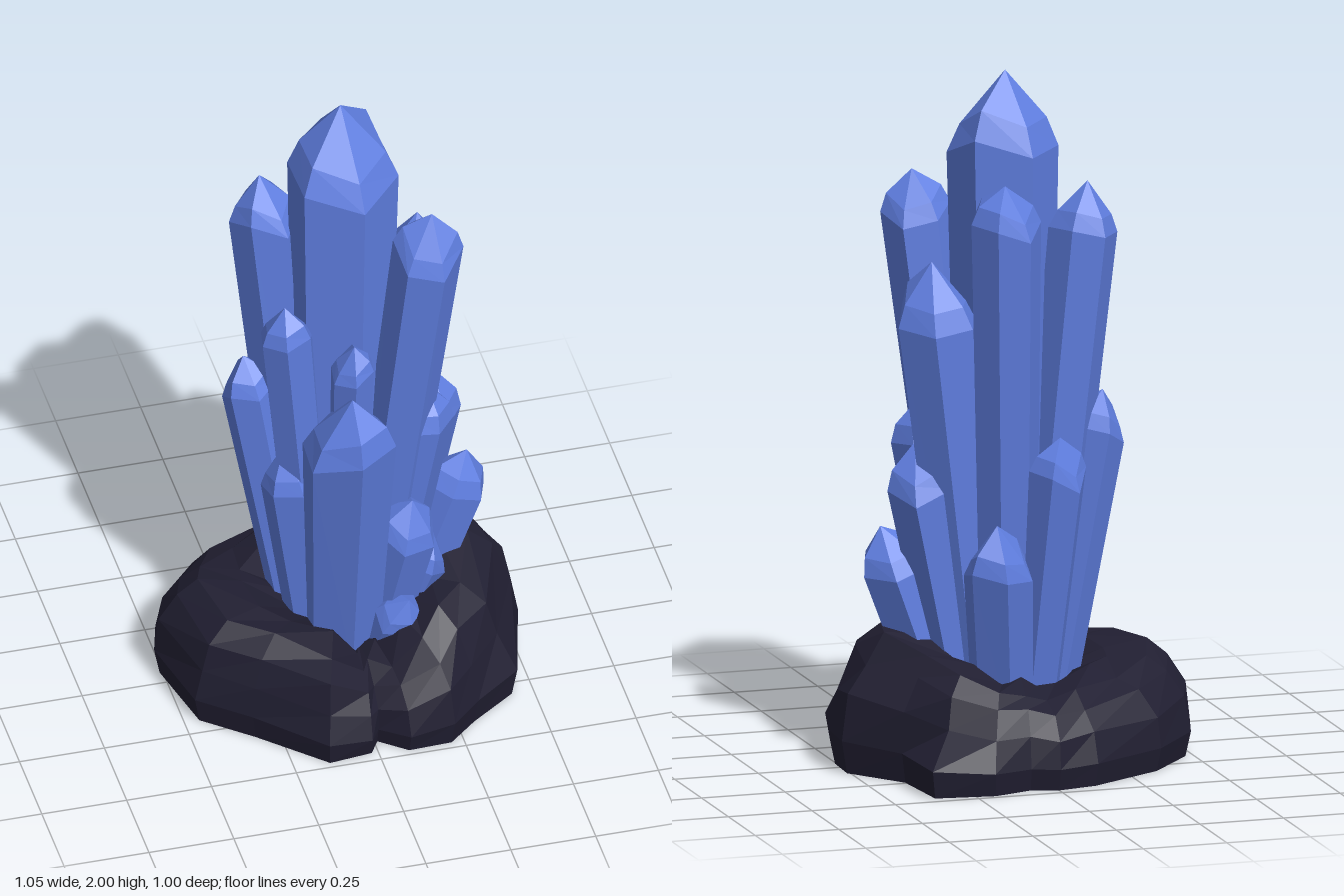
import * as THREE from 'three';

const crystalBlue = new THREE.MeshStandardMaterial({ color: 0x5f7ee0 });
const rockDark = new THREE.MeshStandardMaterial({ color: 0x211f32 });

// seeded random in -1..1
function makeRandom(seed) {
  return () => {
    seed = (seed * 16807) % 2147483647;
    return (seed / 2147483647) * 2 - 1;
  };
}

function faceted(geometry) {
  const flat = geometry.toNonIndexed();
  flat.computeVertexNormals();
  return flat;
}

// Six-sided shaft widening upwards, with an uneven shoulder and a pointed tip.
// Every shaft leans out from the middle; shorter ones start further out.
function crystal(x, y, z, r, seed) {
  const rand = makeRandom(seed * 7919 + 17);
  const lean = 0.62 - 0.17 * y;
  const from = new THREE.Vector3(x * lean, 0.15, z * lean);
  const axis = new THREE.Vector3(x, y, z).sub(from);
  const h = axis.length();
  const point = r * 1.4;
  const foot = Math.max(0.78, 1.1 - 0.3 * y);
  const profile = [
    new THREE.Vector2(r * foot, 0),
    new THREE.Vector2(r, h - point),
    new THREE.Vector2(r * 0.78, h - point * 0.63),
    new THREE.Vector2(0, h),
  ];
  const sides = 6;
  const geo = new THREE.LatheGeometry(profile, sides, rand());
  const widths = [], drops = [];
  for (let i = 0; i < sides; i++) {
    widths.push(1.02 + rand() * 0.09);
    drops.push(rand() * point * 0.25);
  }
  const p = geo.attributes.position;
  for (let i = 0; i < p.count; i++) {
    const row = i % profile.length;
    const side = Math.floor(i / profile.length) % sides;
    if (row === 3) continue;
    const drop = row === 0 ? 0 : drops[side];
    p.setXYZ(i, p.getX(i) * widths[side], p.getY(i) + drop, p.getZ(i) * widths[side]);
  }
  geo.applyQuaternion(new THREE.Quaternion().setFromUnitVectors(
    new THREE.Vector3(0, 1, 0), axis.normalize()));
  geo.translate(from.x, from.y, from.z);
  return new THREE.Mesh(faceted(geo), crystalBlue);
}

// Lumpy rock: a plan outline swept through shrinking rings
function rock() {
  const outline = [
    [-0.525, -0.05], [-0.49, -0.17], [-0.35, -0.33], [-0.12, -0.46], [0, -0.485],
    [0.08, -0.46], [0.2, -0.5], [0.38, -0.475], [0.4, -0.25], [0.525, -0.08],
    [0.52, 0.05], [0.45, 0.31], [0.31, 0.41], [0.22, 0.49], [0.09, 0.495],
    [0.01, 0.43], [-0.02, 0.48], [-0.15, 0.495], [-0.33, 0.32], [-0.47, 0.2],
  ].map(([x, z]) => new THREE.Vector2(x, z));
  // the rim rises to the left, falls to the back and dips at the front notch
  const rim = ({ x, y: z }) => 0.32 + 0.14 * Math.max(x, 0)
    - 0.14 * Math.max(-z, 0) - 0.06 * Math.max(z, 0)
    - (z > 0 ? 0.09 * Math.exp(-(((x - 0.04) / 0.13) ** 2)) : 0);
  const rings = [[0.97, 0], [1, 0.25], [0.96, 0.58], [0.88, 0.85], [0.74, 1], [0.54, 1.02], [0.3, 0.8]];
  const rand = makeRandom(4242);
  const n = outline.length;
  const pos = [], idx = [];
  rings.forEach(([scale, level], k) => outline.forEach((corner) => {
    // only the foot of the rock reaches out into the back spur
    const c = k > 1 ? corner.clone().clampLength(0, 0.52) : corner;
    const s = scale + (k > 1 ? rand() * 0.035 : 0);
    pos.push(c.x * s, rim(c) * level * (1 + rand() * 0.06), c.y * s);
  }));
  pos.push(0, 0.2, 0, 0, 0, 0);
  const top = rings.length * n, bottom = top + 1, last = top - n;
  for (let i = 0; i < n; i++) {
    const j = (i + 1) % n;
    for (let k = 0; k < rings.length - 1; k++) {
      const a = k * n + i, b = k * n + j;
      idx.push(a, a + n, b, b, a + n, b + n);
    }
    idx.push(last + i, top, last + j, i, j, bottom);
  }
  const geo = new THREE.BufferGeometry();
  geo.setAttribute('position', new THREE.Float32BufferAttribute(pos, 3));
  geo.setIndex(idx);
  return new THREE.Mesh(faceted(geo), rockDark);
}

export function createModel() {
  const model = new THREE.Group();
  const base = rock();
  base.name = 'rockBase';
  model.add(base);

  // tip position and radius of each crystal
  const crystals = {
    mainCrystal: [0.005, 2, 0.02, 0.16],
    tallLeftCrystal: [0.23, 1.69, 0.19, 0.1],
    tallRightCrystal: [-0.2, 1.69, -0.11, 0.098],
    tallBackCrystal: [0.1, 1.73, -0.275, 0.1],
    leftSideCrystal: [0.26, 1.48, -0.09, 0.125],
    rightFrontCrystal: [-0.185, 1.38, 0.12, 0.082],
    slimFrontCrystal: [-0.01, 1.29, 0.235, 0.065],
    frontCrystal: [-0.035, 1.16, 0.31, 0.138],
    lowRightCrystal: [-0.255, 1.07, -0.08, 0.085],
    rightFootCrystal: [-0.18, 0.86, 0.09, 0.085],
    middleLeftCrystal: [0.23, 1.03, 0.13, 0.098],
    lowLeftCrystal: [0.29, 0.95, -0.04, 0.11],
    lowBackCrystal: [-0.07, 0.98, -0.26, 0.085],
    shortLeftCrystal: [0.375, 0.69, 0.03, 0.1],
    shortFrontCrystal: [0.165, 0.69, 0.22, 0.09],
    shortBackCrystal: [0.125, 0.74, -0.28, 0.1],
    smallFrontCrystal: [0.24, 0.52, 0.16, 0.08],
    tinyFrontCrystal: [0.14, 0.38, 0.28, 0.07],
  };
  Object.entries(crystals).forEach(([name, [x, y, z, r]], i) => {
    const mesh = crystal(x, y, z, r, i + 1);
    mesh.name = name;
    model.add(mesh);
  });
  return model;
}
